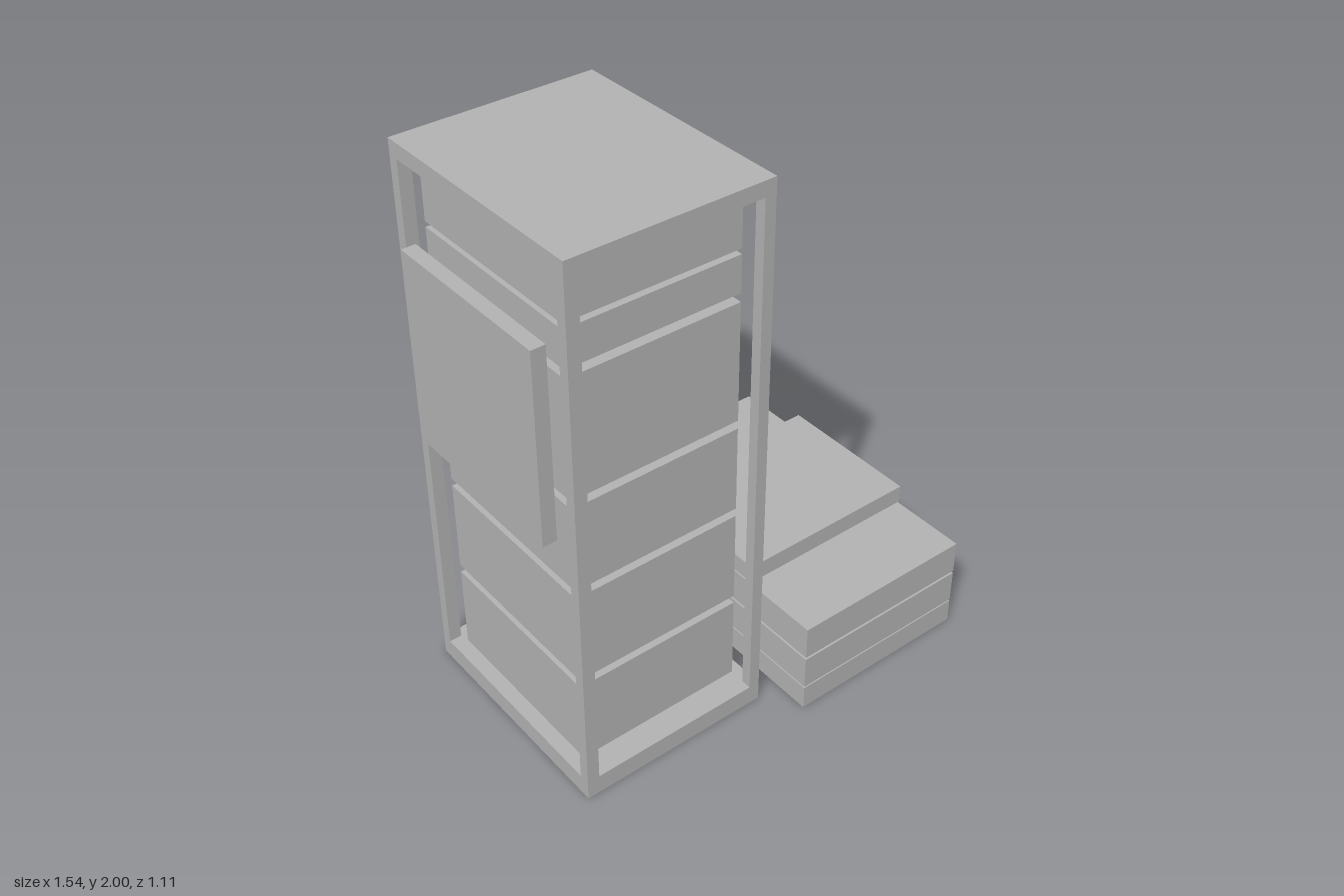
import * as THREE from 'three';

export function createModel() {
  const model = new THREE.Group();
  model.name = 'equipmentRack';
  const grey = new THREE.MeshStandardMaterial({ color: 0xb2b2b2 });
  grey.name = 'lightGrey';

  // Box given by its extents on each axis
  function box(name, [x0, x1], [y0, y1], [z0, z1], parent) {
    const mesh = new THREE.Mesh(new THREE.BoxGeometry(x1 - x0, y1 - y0, z1 - z0), grey);
    mesh.position.set((x0 + x1) / 2, (y0 + y1) / 2, (z0 + z1) / 2);
    mesh.name = name;
    parent.add(mesh);
  }
  function group(name) {
    const g = new THREE.Group();
    g.name = name;
    model.add(g);
    return g;
  }

  // Open frame: base, roof and four corner posts
  const frame = group('frame');
  const width = [-0.72, -0.01], depth = [-0.426, 0.426];
  box('basePlate', width, [0, 0.073], depth, frame);
  box('roofPlate', width, [1.947, 2], depth, frame);
  for (const x of [[-0.72, -0.675], [-0.05, -0.01]])
    for (const z of [[-0.426, -0.388], [0.388, 0.426]])
      box('cornerPost', x, [0.073, 1.947], z, frame);

  // Stacked modules, bottom to top
  const modules = group('modules');
  for (const y of [[0.088, 0.403], [0.433, 0.773], [0.803, 1.117],
    [1.147, 1.572], [1.602, 1.732], [1.751, 1.932]])
    box('rackModule', [-0.675, -0.057], y, [-0.342, 0.342], modules);

  // Panel on the outside of the frame
  box('sidePanel', [-0.77, -0.72], [1.017, 1.698], [-0.328, 0.328], model);

  // Low stack beside the frame, with a smaller unit on top
  const stack = group('sideStack');
  for (const y of [[0, 0.09], [0.096, 0.221], [0.231, 0.355]])
    box('stackUnit', [0.08, 0.77], y, [-0.555, 0.555], stack);
  box('topUnit', [0.08, 0.77], [0.362, 0.43], [-0.271, 0.271], stack);

  // Connecting cable between frame and stack
  const cable = new THREE.Mesh(new THREE.CylinderGeometry(0.016, 0.016, 0.09, 24), grey);
  cable.name = 'cable';
  cable.rotation.z = Math.PI / 2;
  cable.position.set(0.035, 0.396, -0.003);
  model.add(cable);

  return model;
}
